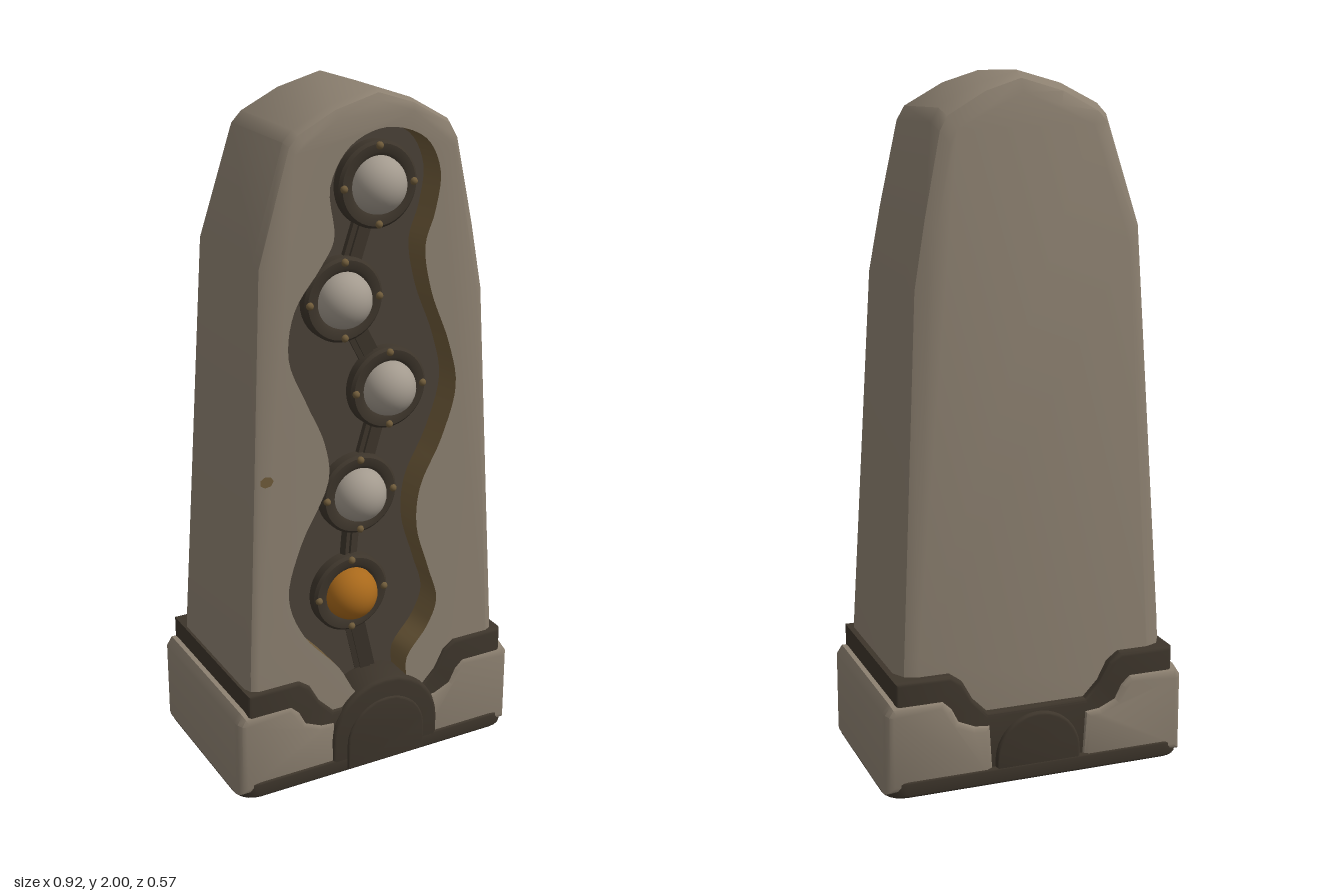
import * as THREE from 'three';
import { mergeGeometries, toCreasedNormals } from 'three/addons/utils/BufferGeometryUtils.js';

const mat = (name, color, side = THREE.FrontSide) => {
  const m = new THREE.MeshStandardMaterial({ color, side });
  m.name = name;
  return m;
};
const V2 = ([x, y]) => new THREE.Vector2(x, y);

// The slab leans inwards towards the top
const frontZ = y => 0.268 - 0.02 * y;
const backZ = y => -0.255 + 0.045 * y;

// Slab outline, counter-clockwise seen from the front
const OUTLINE = [
  [-0.42, 0.2], [0.415, 0.2], [0.405, 0.4], [0.345, 1.43], [0.31, 1.62], [0.258, 1.86],
  [0.235, 1.9], [0.12, 1.965], [0.01, 2], [-0.12, 1.965], [-0.23, 1.91], [-0.258, 1.88],
  [-0.355, 1.57], [-0.415, 0.4],
];

// Winding channel, counter-clockwise from its lower left
const CHANNEL = [
  [-0.05, 0.23], [0.09, 0.23], [0.1, 0.32], [0.17, 0.41], [0.2, 0.49], [0.17, 0.6], [0.13, 0.74],
  [0.14, 0.86], [0.21, 1.0], [0.255, 1.15], [0.23, 1.28], [0.17, 1.44], [0.15, 1.57],
  [0.18, 1.66], [0.195, 1.77], [0.15, 1.86], [0.03, 1.9], [-0.08, 1.86], [-0.14, 1.76],
  [-0.13, 1.62], [-0.17, 1.55], [-0.25, 1.44], [-0.27, 1.31], [-0.22, 1.18], [-0.165, 1.05],
  [-0.155, 0.94], [-0.245, 0.76], [-0.285, 0.61], [-0.24, 0.48], [-0.13, 0.35],
];
const DEPTH = 0.09;

// Gem centres from top to bottom; the last one is amber
const GEMS = [[0.037, 1.735], [-0.07, 1.43], [0.07, 1.155], [-0.025, 0.85], [-0.055, 0.545]];

// Strips between successive closed rings of points
function loft(rings) {
  const pos = [];
  for (let r = 0; r + 1 < rings.length; r++) {
    const a = rings[r], b = rings[r + 1], n = a.length;
    for (let i = 0; i < n; i++) {
      const j = (i + 1) % n;
      pos.push(...a[i], ...a[j], ...b[j], ...a[i], ...b[j], ...b[i]);
    }
  }
  return new THREE.BufferGeometry().setAttribute('position', new THREE.Float32BufferAttribute(pos, 3));
}

// Flat shape laid on the leaning surface zOf(y)
function sheet(points, zOf, hole, flip = false) {
  const shape = new THREE.Shape(points.map(V2));
  if (hole) shape.holes.push(new THREE.Path(hole.map(V2)));
  const g = new THREE.ShapeGeometry(shape).toNonIndexed();
  g.deleteAttribute('uv');
  g.deleteAttribute('normal');
  const p = g.attributes.position;
  for (let i = 0; i < p.count; i++) p.setZ(i, zOf(p.getY(i)));
  if (flip) {
    for (let i = 0; i < p.count; i += 3) {
      const b = new THREE.Vector3().fromBufferAttribute(p, i + 1);
      const c = new THREE.Vector3().fromBufferAttribute(p, i + 2);
      p.setXYZ(i + 1, c.x, c.y, c.z);
      p.setXYZ(i + 2, b.x, b.y, b.z);
    }
  }
  return g;
}

// Shape extruded from z0 to z1 with a rounded edge inside the outline
function slab(points, z0, z1, size = 0, thick = size) {
  const g = new THREE.ExtrudeGeometry(new THREE.Shape(points.map(V2)), {
    depth: z1 - z0 - 2 * thick, bevelEnabled: size > 0, bevelSize: size,
    bevelThickness: thick, bevelOffset: -size, bevelSegments: 3,
  });
  g.translate(0, 0, z0 + thick);
  return toCreasedNormals(g, 0.6);
}

// Arch outline standing on y = 0.005
function arch(cx, cy, r) {
  const pts = [[cx - r, 0.005], [cx + r, 0.005]];
  for (let i = 0; i <= 24; i++) {
    const a = Math.PI * i / 24;
    pts.push([cx + r * Math.cos(a), cy + r * Math.sin(a)]);
  }
  return pts;
}

export function createModel() {
  const root = new THREE.Group();
  root.name = 'stoneMarker';
  const stone = mat('stone', 0x8c8070);
  const dark = mat('dark metal', 0x3d352b);
  const floorMat = mat('channel floor', 0x4a4137);
  const bronze = mat('bronze edge', 0x6f5b3a, THREE.DoubleSide);
  const pearl = mat('pale gem', 0xa39a8e);
  const amber = mat('amber gem', 0xa9691b);
  const add = (name, geo, material, parent = root) => {
    const m = new THREE.Mesh(geo, material);
    m.name = name;
    parent.add(m);
    return m;
  };

  // Stone slab: lofted rounded edges, back cap and pierced front face
  const inset = d => OUTLINE.map(([x, y]) => [x * (1 - d / 0.42), 0.2 + (y - 0.2) * (1 - d / 1.8)]);
  const ring = (d, zOf) => inset(d).map(([x, y]) => [x, y, zOf(y)]);
  const channel = new THREE.CatmullRomCurve3(CHANNEL.map(([x, y]) => new THREE.Vector3(x, y, 0)), true)
    .getPoints(150).slice(0, -1).map(p => [p.x, p.y]);
  const body = mergeGeometries([
    loft([
      ring(0.06, backZ), ring(0.022, y => backZ(y) + 0.016), ring(0, y => backZ(y) + 0.055),
      ring(0, y => frontZ(y) - 0.035), ring(0.01, y => frontZ(y) - 0.01), ring(0.03, frontZ),
    ]),
    sheet(inset(0.06), backZ, null, true),
    sheet(inset(0.03), frontZ, channel),
  ]);
  add('stoneSlab', toCreasedNormals(body, 0.6), stone);

  // Recessed channel
  const floorZ = y => frontZ(y) - DEPTH;
  const floor = sheet(channel, floorZ);
  floor.computeVertexNormals();
  add('channelFloor', floor, floorMat);
  const wall = loft([
    channel.map(([x, y]) => [x, y, floorZ(y)]),
    channel.map(([x, y]) => [x, y, frontZ(y)]),
  ]);
  // Walls face into the channel
  const flipped = wall.attributes.position;
  for (let i = 0; i < flipped.count; i += 3) {
    const b = new THREE.Vector3().fromBufferAttribute(flipped, i + 1);
    flipped.setXYZ(i + 1, flipped.getX(i + 2), flipped.getY(i + 2), flipped.getZ(i + 2));
    flipped.setXYZ(i + 2, b.x, b.y, b.z);
  }
  add('channelWall', toCreasedNormals(wall, 0.6), bronze);

  // Gems in ringed sockets with four studs each
  const socketProfile = [[0.08, -0.02], [0.08, 0.03], [0.09, 0.036], [0.112, 0.036], [0.12, 0.028], [0.12, -0.02]];
  const socketGeo = toCreasedNormals(
    new THREE.LatheGeometry(socketProfile.map(V2).reverse(), 40).rotateX(Math.PI / 2), 0.6);
  const gemGeo = new THREE.SphereGeometry(0.08, 32, 20);
  const studGeo = new THREE.SphereGeometry(0.011, 10, 8);
  const socketMat = dark.clone();
  socketMat.side = THREE.DoubleSide;
  GEMS.forEach(([x, y], i) => {
    const g = new THREE.Group();
    g.name = 'gemSocket';
    g.position.set(x, y, floorZ(y));
    root.add(g);
    add('socketRing', socketGeo, socketMat, g);
    add('gem', gemGeo, i === 4 ? amber : pearl, g).position.z = 0.026;
    for (let k = 0; k < 4; k++) {
      const a = k * Math.PI / 2;
      add('stud', studGeo, bronze, g).position.set(0.107 * Math.cos(a), 0.107 * Math.sin(a), 0.036);
    }
  });

  // Raised links joining the sockets and leading down to the base
  const stops = [...GEMS, [0.02, 0.2]];
  for (let i = 0; i + 1 < stops.length; i++) {
    const a = new THREE.Vector3(...stops[i], floorZ(stops[i][1]));
    const b = new THREE.Vector3(...stops[i + 1], floorZ(stops[i + 1][1]));
    const dir = b.clone().sub(a), len = dir.length();
    dir.normalize();
    const from = 0.112, to = i === 4 ? 0 : 0.112;
    const mid = a.clone().addScaledVector(dir, (from + len - to) / 2);
    for (const [w, h] of [[0.062, 0.02], [0.03, 0.034]]) {
      const link = add('link', new THREE.BoxGeometry(w, len - from - to, h), dark);
      link.position.copy(mid);
      link.quaternion.setFromUnitVectors(new THREE.Vector3(0, 1, 0), dir);
    }
  }

  // Small chip in the front face
  const chip = add('chip', new THREE.CircleGeometry(0.021, 7), bronze);
  chip.scale.y = 0.8;
  chip.position.set(-0.345, 0.975, frontZ(0.975) + 0.002);

  // Dark base core whose upper edge forms the dipping band
  const half = [[0.425, 0.04], [0.425, 0.34], [0.26, 0.34], [0.225, 0.315], [0.195, 0.26], [0.15, 0.215]];
  const core = [...half, ...half.map(([x, y]) => [-x, y]).reverse()];
  add('baseBand', slab(core, -0.268, 0.272, 0.012), dark);

  // Stone shoulder blocks on both sides
  const block = [[0.13, 0.01], [0.458, 0.01], [0.458, 0.25], [0.44, 0.278], [0.285, 0.278],
    [0.255, 0.25], [0.235, 0.21], [0.19, 0.19], [0.14, 0.185]];
  add('leftBlock', slab(block, -0.278, 0.277, 0.025, 0.035), stone);
  add('rightBlock', slab(block.map(([x, y]) => [-x, y]).reverse(), -0.278, 0.277, 0.025, 0.035), stone);

  // Bottom plate with rounded corners
  const plate = [];
  for (const [sx, sz, a0] of [[1, 1, 0], [-1, 1, 1], [-1, -1, 2], [1, -1, 3]])
    for (let k = 0; k <= 5; k++) {
      const a = (a0 + k / 5) * Math.PI / 2;
      plate.push([sx * 0.395 + 0.062 * Math.cos(a), sz * 0.219 + 0.062 * Math.sin(a)]);
    }
  add('bottomPlate', slab(plate, 0, 0.05, 0.008).rotateX(-Math.PI / 2), dark);

  // Arched bosses, large at the front and small at the back
  add('frontArch', slab(arch(0.02, 0.1, 0.18), 0.15, 0.281, 0.012), dark);
  add('frontArchInset', slab(arch(0.02, 0.087, 0.13), 0.2, 0.286, 0.006), dark);
  add('backArch', slab(arch(0, 0.07, 0.13), -0.28, -0.2, 0.008), dark);
  return root;
}
